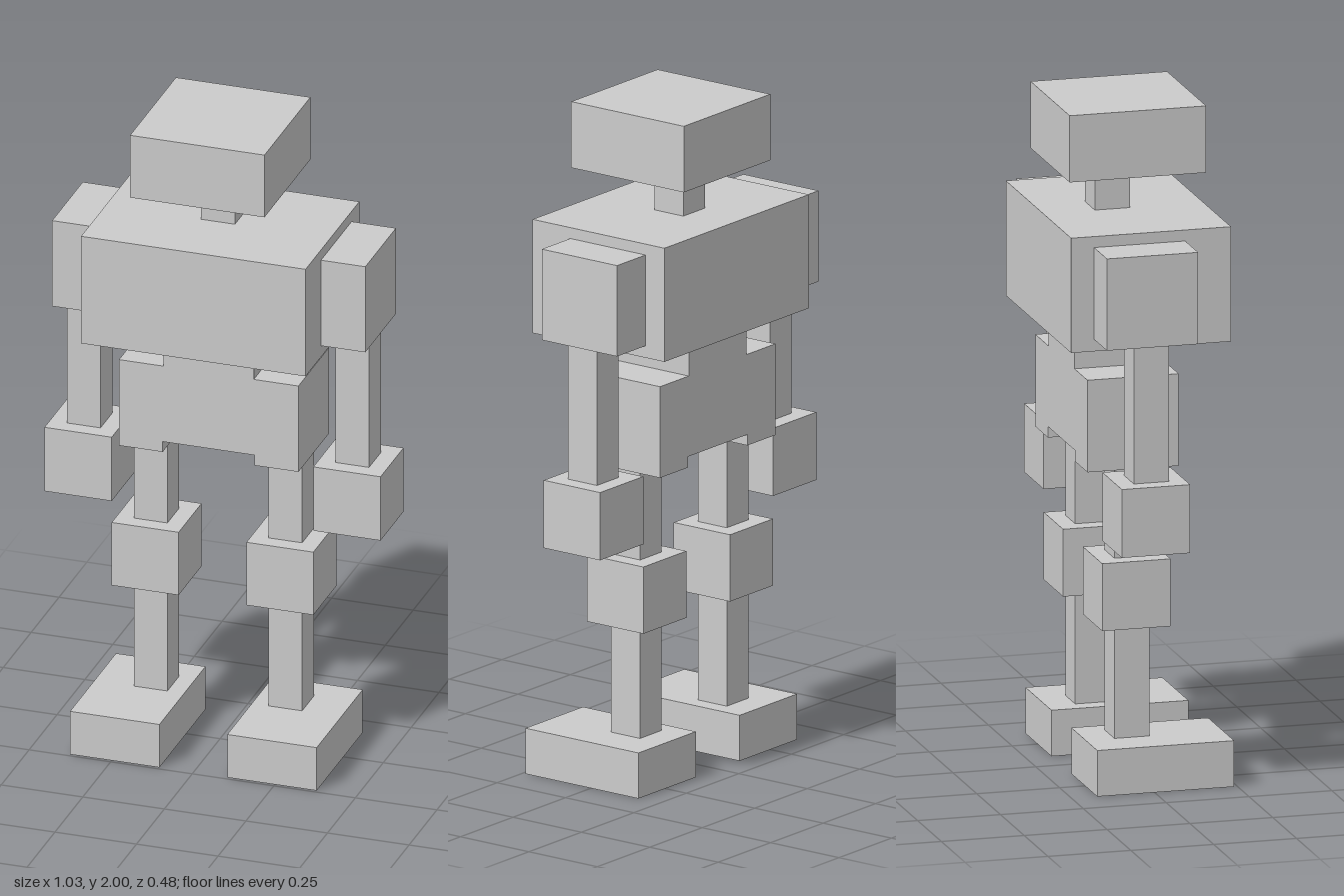
import * as THREE from 'three';

const material = new THREE.MeshStandardMaterial({ color: 0xcccccc, flatShading: true });

// Box spanning [min, max] on each axis
function block(name, [x0, x1], [y0, y1], [z0, z1]) {
  const mesh = new THREE.Mesh(new THREE.BoxGeometry(x1 - x0, y1 - y0, z1 - z0), material);
  mesh.position.set((x0 + x1) / 2, (y0 + y1) / 2, (z0 + z1) / 2);
  mesh.name = name;
  return mesh;
}

export function createModel() {
  const model = new THREE.Group();
  model.name = 'blockRobot';

  // Shared depths of the limbs, joints and trunk
  const rod = [-0.087, 0.019];
  const joint = [-0.138, 0.068];
  const trunk = [-0.173, 0.102];

  // Head, neck and chest
  model.add(
    block('head', [-0.206, 0.206], [1.8, 2], [-0.207, 0.205]),
    block('neck', [-0.052, 0.052], [1.67, 1.8], rod),
    block('chest', [-0.344, 0.344], [1.326, 1.67], [-0.242, 0.24])
  );

  // Waist and hips as one stepped outline, notched between the legs
  const outline = [
    [-0.138, 1.326], [-0.138, 1.222], [-0.275, 1.222], [-0.275, 0.946],
    [-0.141, 0.946], [-0.141, 0.979], [0.141, 0.979], [0.141, 0.946],
    [0.275, 0.946], [0.275, 1.222], [0.138, 1.222], [0.138, 1.326]
  ].map(([x, y]) => new THREE.Vector2(x, y));
  const pelvis = new THREE.Mesh(
    new THREE.ExtrudeGeometry(new THREE.Shape(outline), { depth: trunk[1] - trunk[0], bevelEnabled: false }),
    material
  );
  pelvis.position.z = trunk[0];
  pelvis.name = 'waistAndPelvis';
  model.add(pelvis);

  // Arms and legs, mirrored left and right
  for (const [side, s] of [['left', 1], ['right', -1]]) {
    const span = (a, b) => (s > 0 ? [a, b] : [-b, -a]);

    const arm = new THREE.Group();
    arm.name = side + 'Arm';
    arm.add(
      block(side + 'Shoulder', span(0.344, 0.48), [1.362, 1.637], trunk),
      block(side + 'ArmRod', span(0.36, 0.463), [0.952, 1.362], rod),
      block(side + 'Hand', span(0.309, 0.515), [0.747, 0.952], joint)
    );

    const leg = new THREE.Group();
    leg.name = side + 'Leg';
    leg.add(
      block(side + 'Thigh', span(0.155, 0.258), [0.678, 0.946], rod),
      block(side + 'Knee', span(0.104, 0.309), [0.476, 0.678], joint),
      block(side + 'Shin', span(0.155, 0.258), [0.138, 0.476], rod),
      block(side + 'Foot', span(0.104, 0.378), [0, 0.138], [-0.173, 0.24])
    );
    model.add(arm, leg);
  }
  return model;
}
